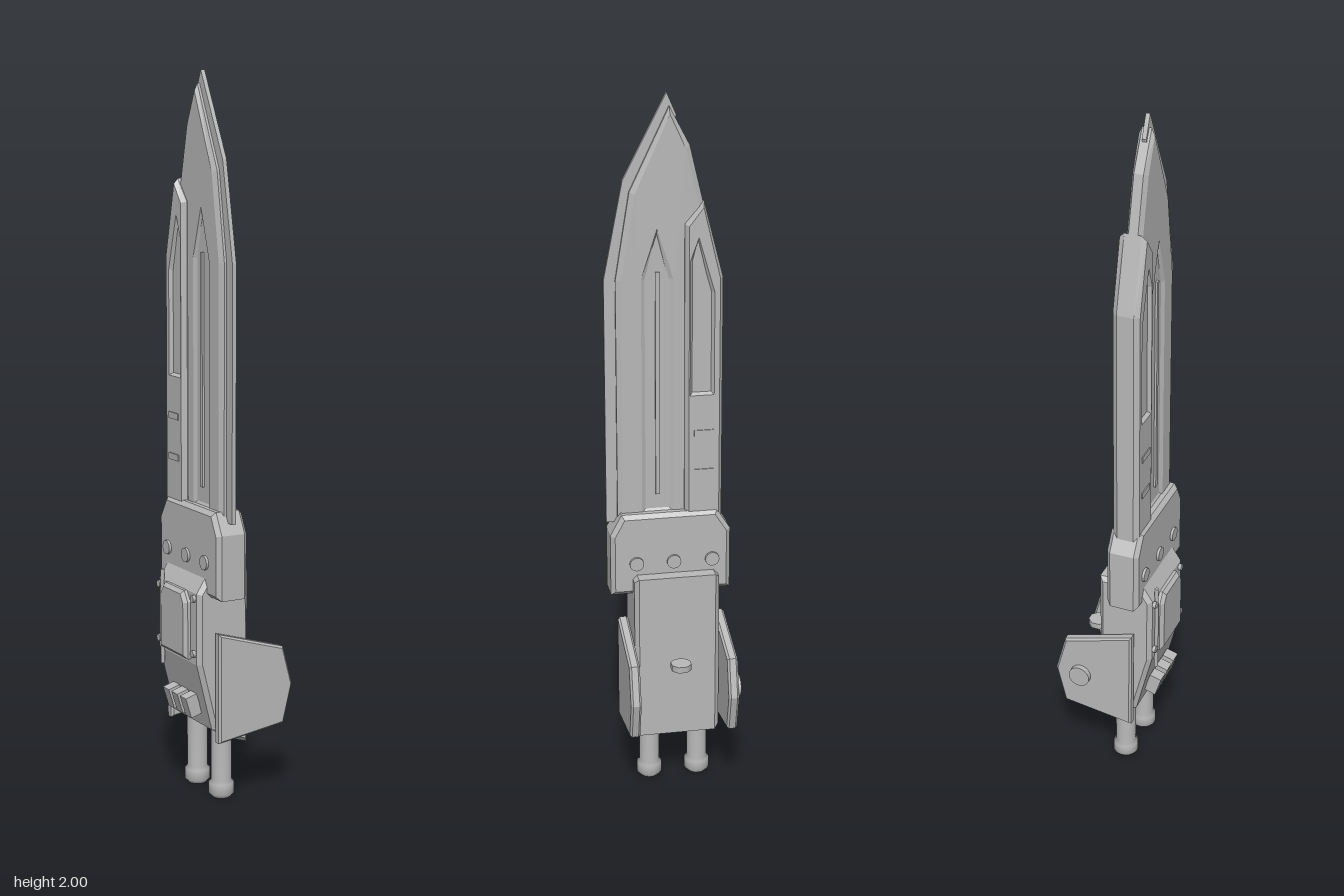
import * as THREE from 'three';

export function createModel() {
  const model = new THREE.Group();
  model.name = 'bladeWeapon';
  const steel = new THREE.MeshStandardMaterial({ color: 0xb8b8b8 });
  steel.name = 'steel grey';
  const bladeX = -0.06;

  function add(name, geometry, x = 0, y = 0, z = 0) {
    const mesh = new THREE.Mesh(geometry, steel);
    mesh.name = name;
    mesh.position.set(x, y, z);
    model.add(mesh);
    return mesh;
  }

  // Bevelled plate, centred on its thickness; the bevel stays inside the outline.
  function plate(points, thickness, bevel = 0, bevelDepth = bevel, holes = []) {
    const toVectors = (list) => list.map(([u, v]) => new THREE.Vector2(u, v));
    const shape = new THREE.Shape(toVectors(points));
    for (const hole of holes) shape.holes.push(new THREE.Path(toVectors(hole)));
    const depth = thickness - 2 * bevelDepth;
    const geometry = new THREE.ExtrudeGeometry(shape, {
      depth, bevelEnabled: bevel > 0, bevelSize: bevel, bevelThickness: bevelDepth,
      bevelOffset: -bevel, bevelSegments: 1,
    });
    return geometry.translate(0, 0, -depth / 2);
  }

  // Same, but the outline is given as (z, y) and the thickness runs along x.
  const sidePlate = (...args) => plate(...args).rotateY(-Math.PI / 2);
  const disc = (radius, length, sides = 16) => new THREE.CylinderGeometry(radius, radius, length, sides);

  // Thin cutting edge
  add('cuttingEdge', sidePlate([
    [0.178, 0.8], [0.178, 1.5], [0.125, 1.77], [0.006, 2], [-0.02, 1.94], [0.05, 1.7], [0.1, 1.4], [0.1, 0.8],
  ], 0.012), bladeX);

  // Blade body with a long fuller cut through it
  const fuller = [[0.065, 0.84], [0.065, 1.5], [0.035, 1.62], [0.005, 1.5], [0.005, 0.84]];
  add('bladeBody', sidePlate([
    [0.147, 0.78], [0.147, 1.5], [0.108, 1.74], [0, 1.965], [-0.055, 1.86], [-0.135, 1.52], [-0.135, 0.78],
  ], 0.044, 0.014, 0.009, [fuller]), bladeX);
  add('fullerFloor', sidePlate([
    [0.075, 0.8], [0.075, 1.5], [0.035, 1.64], [-0.005, 1.5], [-0.005, 0.8],
  ], 0.03), bladeX);
  add('fullerRidge', new THREE.BoxGeometry(0.042, 0.64, 0.012), bladeX, 1.2, 0.034);

  // Spine rail with a slot and two cross notches
  const slot = [[-0.063, 1.18], [-0.063, 1.55], [-0.076, 1.6], [-0.11, 1.46], [-0.11, 1.18]];
  add('spineRail', sidePlate([
    [-0.04, 0.8], [-0.04, 1.65], [-0.092, 1.71], [-0.145, 1.5], [-0.145, 0.8],
  ], 0.076, 0.01, 0.014, [slot]), bladeX);
  add('slotFloor', sidePlate([
    [-0.055, 1.16], [-0.055, 1.57], [-0.076, 1.62], [-0.12, 1.46], [-0.12, 1.16],
  ], 0.056), bladeX);
  for (const y of [0.945, 1.06]) {
    add('spineNotch', new THREE.BoxGeometry(0.082, 0.018, 0.055), bladeX, y, -0.092);
  }

  // Guard and its rivets
  add('guard', sidePlate([
    [0.172, 0.59], [0.172, 0.77], [0.14, 0.83], [-0.13, 0.83], [-0.168, 0.77], [-0.168, 0.59],
  ], 0.094, 0.012), -0.059);
  for (const z of [0.1, -0.006, -0.115]) {
    add('guardRivet', disc(0.02, 0.108).rotateZ(Math.PI / 2), -0.059, 0.685, z);
  }

  // Grip housing, slanted on its lower side
  add('gripHousing', plate([
    [-0.1, 0.65], [-0.132, 0.6], [-0.132, 0.4], [-0.085, 0.21], [-0.04, 0.18],
    [0.025, 0.16], [0.025, 0.65],
  ], 0.242, 0.012), 0, 0, -0.01);

  // Cover panel, screws and vents on the grip
  add('coverPanel', sidePlate([
    [0.065, 0.41], [0.065, 0.57], [0.045, 0.6], [-0.065, 0.6], [-0.085, 0.57], [-0.085, 0.41],
  ], 0.03, 0.01), -0.136);
  add('coverRod', disc(0.006, 0.27, 8), -0.135, 0.495, -0.095);
  for (const z of [-0.11, 0.087]) {
    for (const y of [0.43, 0.585]) {
      add('gripScrew', disc(0.01, 0.018, 10).rotateZ(Math.PI / 2), -0.132, y, z);
    }
  }
  for (const z of [-0.06, -0.01, 0.04]) {
    const vent = add('ventBlock', new THREE.BoxGeometry(0.035, 0.06, 0.035), -0.118, 0.272, z);
    vent.rotation.z = 0.3;
  }

  // Cheek plates on both faces of the grip
  const cheek = [[-0.085, 0.18], [0.12, 0.21], [0.147, 0.32], [0.118, 0.43], [-0.085, 0.49]];
  for (const z of [0.129, -0.15]) add('cheekPlate', plate(cheek, 0.03, 0.006), 0, 0, z);
  add('cheekBoss', disc(0.031, 0.02, 20).rotateX(Math.PI / 2), 0.069, 0.32, -0.17);

  // Octagonal button between the cheek plates
  add('button', disc(0.03, 0.018, 8).rotateY(Math.PI / 8), 0.077, 0.4, -0.01);

  // Two piston feet
  const foot = [[0, 0], [0.024, 0], [0.036, 0.012], [0.036, 0.042], [0.029, 0.05], [0.029, 0.22]]
    .map(([r, y]) => new THREE.Vector2(r, y));
  for (const z of [0.063, -0.077]) {
    add('pistonFoot', new THREE.LatheGeometry(foot, 20), -0.035, 0, z);
  }

  return model;
}
